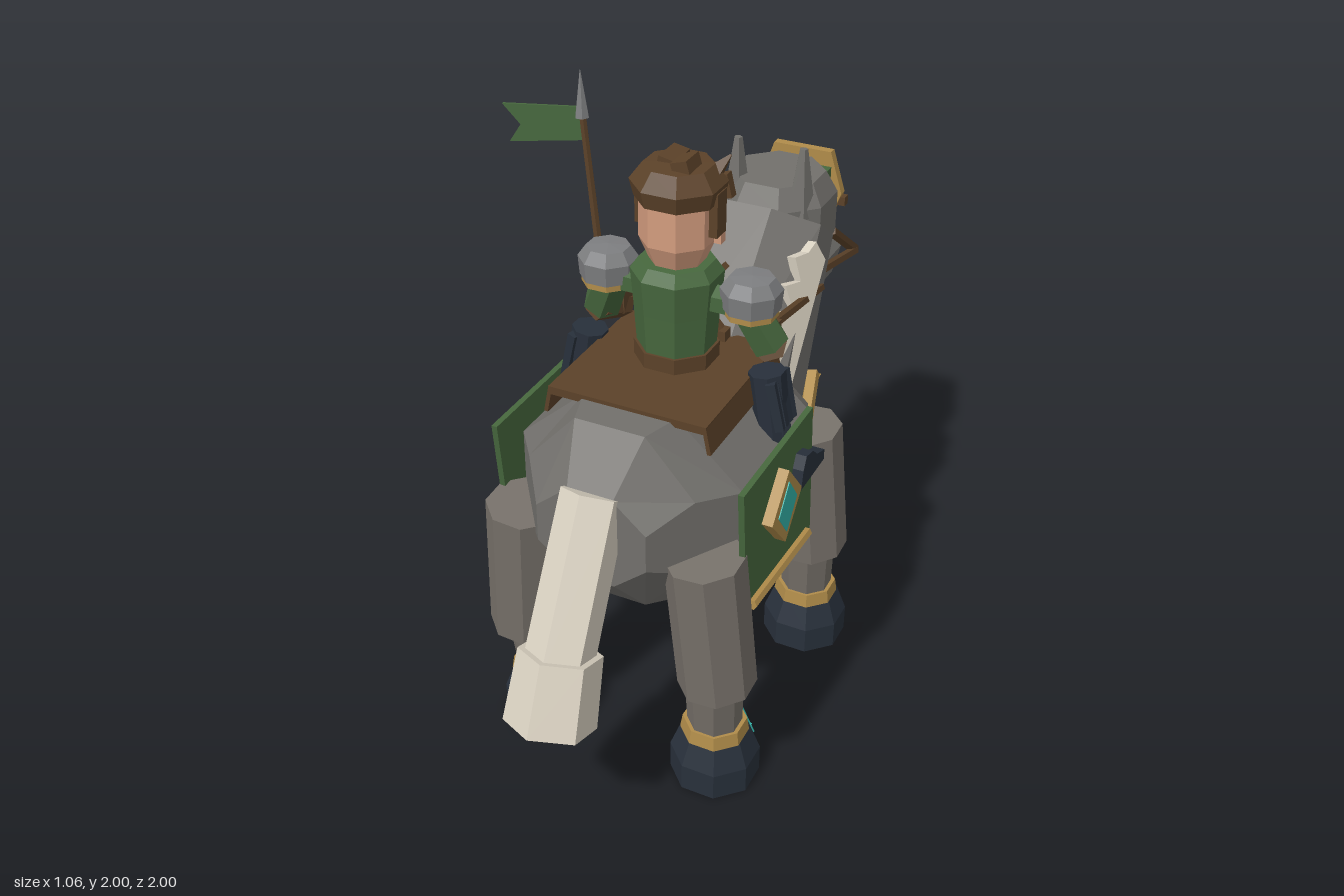
import * as THREE from 'three';

const mat = (name, color) => new THREE.MeshStandardMaterial({ name, color, flatShading: true });
const GREY = mat('horse grey', 0x72706c), LEG = mat('warm leg grey', 0x77716a), STEEL = mat('steel', 0x7d7e80),
  CREAM = mat('cream hair', 0xdad2c2), GOLD = mat('gold', 0xb08c4a), GREEN = mat('green cloth', 0x47683e),
  BROWN = mat('brown leather', 0x5c4229), SLATE = mat('dark slate', 0x28303b), TEAL = mat('teal', 0x33b3a9),
  SKIN = mat('skin', 0xd39c7e);
const V = (x, y, z) => new THREE.Vector3(x, y, z);

export function createModel() {
  const root = new THREE.Group();
  root.name = 'mountedRider';
  const m = new THREE.Group();
  m.name = 'horseAndRider';
  m.position.x = 0.095;
  root.add(m);

  const add = (name, geo, material, x = 0, y = 0, z = 0, parent = m) => {
    const o = new THREE.Mesh(geo, material);
    o.name = name;
    o.position.set(x, y, z);
    parent.add(o);
    return o;
  };
  const box = (name, w, h, d, material, x, y, z) => add(name, new THREE.BoxGeometry(w, h, d), material, x, y, z);
  // prism with n sides running from point a to point b
  const rod = (name, a, b, ra, rb, n, material, turn = Math.PI / n) => {
    const g = new THREE.CylinderGeometry(rb, ra, a.distanceTo(b), n).rotateY(turn);
    const o = add(name, g, material);
    o.position.copy(a).lerp(b, 0.5);
    o.quaternion.setFromUnitVectors(V(0, 1, 0), b.clone().sub(a).normalize());
    return o;
  };
  // faceted solid of revolution from [radius, y] pairs
  const turned = (name, pts, n, material, x, y, z) =>
    add(name, new THREE.LatheGeometry(pts.map(p => new THREE.Vector2(...p)), n).rotateY(Math.PI / n), material, x, y, z);
  // flat plate drawn in xy and extruded about z = 0
  const plate = (pts, t) => new THREE.ExtrudeGeometry(new THREE.Shape(pts.map(p => new THREE.Vector2(...p))),
    { depth: t, bevelEnabled: false }).translate(0, 0, -t / 2);
  const diamond = (w, h, t) => plate([[0, -h], [w, 0], [0, h], [-w, 0]], t);

  // barrel: octagonal sections [z, half width, bottom, top] from rump to chest
  const sections = [[0.62, 0.17, 0.79, 1.08], [0.5, 0.26, 0.65, 1.23], [0.38, 0.35, 0.6, 1.23], [-0.1, 0.35, 0.6, 1.23],
    [-0.18, 0.32, 0.61, 1.18], [-0.25, 0.24, 0.7, 1.11]];
  const pos = [], idx = [], N = 8;
  for (const [z, w, lo, hi] of sections) for (let i = 0; i < N; i++) {
    const a = (i + 0.5) / N * Math.PI * 2;
    pos.push(w * Math.cos(a) / 0.924, (lo + hi) / 2 + (hi - lo) / 2 * Math.sin(a) / 0.924, z);
  }
  for (let s = 0; s + 1 < sections.length; s++) for (let i = 0; i < N; i++) {
    const a = s * N + i, b = s * N + (i + 1) % N;
    idx.push(a, a + N, b, b, a + N, b + N);
  }
  const last = (sections.length - 1) * N;
  for (let i = 1; i < N - 1; i++) idx.push(0, i, i + 1, last, last + i + 1, last + i);
  const barrel = new THREE.BufferGeometry();
  barrel.setAttribute('position', new THREE.Float32BufferAttribute(pos, 3));
  barrel.setIndex(idx);
  barrel.computeVertexNormals();
  add('horseBody', barrel, GREY);

  // neck: deep at the base, broad at the top
  const neck = new THREE.Group();
  neck.name = 'neckGroup';
  neck.position.set(0, 1.185, -0.345);
  neck.rotation.x = -0.63;
  m.add(neck);
  const neckGeo = new THREE.CylinderGeometry(0.19, 0.305, 0.6, 8).rotateY(Math.PI / 8);
  const np = neckGeo.attributes.position;
  for (let i = 0; i < np.count; i++) np.setX(i, np.getX(i) * (np.getY(i) > 0 ? 1.28 : 0.92));
  neckGeo.computeVertexNormals();
  add('neck', neckGeo, GREY, 0, 0, 0, neck);

  // toothed mane hanging down each side of the neck
  for (const s of [1, -1]) {
    const side = new THREE.Group();
    side.name = 'maneSide';
    side.rotation.y = s * 1.13;
    neck.add(side);
    const pts = [[s * 0.06, -0.25], [s * 0.06, 0.2], [s * 0.0, 0.24]];
    for (let i = 0; i < 5; i++) pts.push([-s * 0.02, 0.2 - i * 0.09], [-s * (0.07 + i * 0.008), 0.17 - i * 0.09]);
    add('mane', plate(pts, 0.035), CREAM, 0, 0, 0.245, side);
  }

  // head, muzzle and ears
  turned('head', [[0, 0], [0.14, 0], [0.19, 0.1], [0.19, 0.24], [0.15, 0.31], [0, 0.31]], 8, GREY, 0, 1.22, -0.665);
  rod('noseBridge', V(0, 1.4, -0.68), V(0, 1.13, -0.84), 0.155, 0.125, 8, GREY);
  turned('muzzle', [[0, 0], [0.125, 0], [0.15, 0.1], [0.12, 0.14], [0, 0.14]], 8, GREY, 0, 1.08, -0.86);
  for (const s of [1, -1]) rod('ear', V(s * 0.11, 1.43, -0.58), V(s * 0.11, 1.65, -0.585), 0.05, 0.014, 5, GREY);

  // forehead guard
  box('foreheadPad', 0.21, 0.17, 0.035, GREEN, 0, 1.395, -0.845);
  add('foreheadGuard', plate([[-0.09, -0.14], [0.09, -0.14], [0.145, 0], [0.1, 0.14], [-0.1, 0.14], [-0.145, 0]], 0.03),
    GOLD, 0, 1.39, -0.88);
  add('foreheadGem', diamond(0.07, 0.115, 0.008), TEAL, 0, 1.39, -0.893);
  for (const s of [1, -1]) box('guardStud', 0.03, 0.03, 0.03, BROWN, s * 0.14, 1.36, -0.89);

  // tail
  rod('tailUpper', V(0, 1.07, 0.59), V(0, 0.62, 0.83), 0.095, 0.1, 6, CREAM, 0);
  rod('tailTuft', V(0, 0.67, 0.805), V(0, 0.465, 0.88), 0.12, 0.133, 6, CREAM, 0);

  // chest collar with gem
  const half = [[0.05, 0.65], [0.15, 0.69], [0.2, 0.8], [0.27, 0.97], [0.21, 0.97], [0.12, 0.84], [0.05, 0.81]];
  add('chestCollar', plate([...half, ...half.map(([x, y]) => [-x, y]).reverse()], 0.025), GOLD, 0, 0, -0.415);
  add('collarGem', plate([[0, 0.73], [0.05, 0.8], [-0.05, 0.8]], 0.008), TEAL, 0, 0, -0.426);

  for (const s of [1, -1]) {
    // horse legs, hooves and hoof runes
    for (const z of [0.4, -0.345]) {
      rod('upperLeg', V(s * 0.32, 0.41, z + 0.055), V(s * 0.287, 0.88, z + 0.09), 0.118, 0.118, 8, LEG);
      rod('lowerLeg', V(s * 0.297, 0.17, z + 0.01), V(s * 0.305, 0.44, z + 0.045), 0.082, 0.09, 8, LEG);
      turned('fetlockBand', [[0, 0], [0.105, 0], [0.098, 0.045], [0, 0.045]], 8, GOLD, s * 0.297, 0.175, z + 0.012);
      turned('hoof', [[0, 0], [0.138, 0], [0.138, 0.09], [0.1, 0.19], [0, 0.19]], 8, SLATE, s * 0.295, 0, z);
      const r = (x1, y1, x2, y2) => rod('hoofRune', V(s * 0.3 + x1, y1, z - 0.15), V(s * 0.3 + x2, y2, z - 0.15), 0.01, 0.01, 4, TEAL);
      r(-0.055, 0.035, -0.01, 0.125);
      r(0.055, 0.035, 0.01, 0.125);
      r(-0.05, 0.09, 0.05, 0.06);
    }

    // side cloth with trim and diamond crest, drawn with x as -z
    const cloth = new THREE.Group();
    cloth.name = 'sideCloth';
    cloth.position.x = s * 0.385;
    cloth.rotation.y = Math.PI / 2;
    m.add(cloth);
    add('clothPanel', plate([[-0.48, 1.11], [-0.435, 0.7], [0.06, 0.645], [0.02, 1.11]], 0.018), GREEN, 0, 0, 0, cloth);
    add('crestFrame', diamond(0.11, 0.125, 0.034), GOLD, -0.235, 0.93, s * 0.025, cloth);
    add('crestGem', diamond(0.067, 0.087, 0.008), TEAL, -0.235, 0.93, s * 0.041, cloth);
    rod('clothTrim', V(s * 0.4, 0.69, 0.41), V(s * 0.4, 0.66, -0.02), 0.017, 0.017, 6, GOLD);

    // collar strap and reins
    rod('collarStrap', V(s * 0.335, 0.82, -0.09), V(s * 0.26, 1, -0.38), 0.022, 0.022, 4, GOLD);
    rod('rearRein', V(s * 0.25, 1.34, -0.05), V(s * 0.235, 1.255, -0.47), 0.016, 0.014, 5, BROWN);
    rod('middleRein', V(s * 0.2, 1.27, -0.53), V(s * 0.18, 1.16, -0.94), 0.016, 0.016, 5, BROWN);
    rod('bridle', V(s * 0.165, 1.32, -0.73), V(s * 0.175, 1.16, -0.95), 0.018, 0.018, 5, BROWN);

    // rider's arm and shoulder guard
    turned('shoulderGuard', [[0, 0], [0.085, 0], [0.09, 0.06], [0.065, 0.095], [0, 0.1]], 8, STEEL, s * 0.225, 1.445, 0.07);
    turned('shoulderBand', [[0, 0], [0.08, 0], [0.08, 0.022], [0, 0.022]], 8, GOLD, s * 0.225, 1.425, 0.07);
    rod('sleeve', V(s * 0.21, 1.45, 0.07), V(s * 0.27, 1.32, 0.03), 0.055, 0.06, 6, GREEN);
    rod('forearm', V(s * 0.275, 1.33, 0.05), V(s * 0.24, 1.29, -0.05), 0.055, 0.045, 6, BROWN);
    box('hand', 0.06, 0.07, 0.06, BROWN, s * 0.24, 1.32, -0.025);

    // rider's armoured leg tucked behind the cloth, and the boot outside it
    rod('riderLeg', V(s * 0.285, 1.26, 0.08), V(s * 0.315, 1.04, 0.08), 0.055, 0.05, 8, SLATE);
    for (let i = 0; i < 4; i++)
      rod('legRib', V(s * 0.315, 1.25, 0.035 + i * 0.03), V(s * 0.35, 1.1, 0.04 + i * 0.027), 0.02, 0.018, 4, SLATE);
    const boot = plate([[-0.13, 0.92], [0.05, 0.92], [0.05, 0.955], [-0.01, 0.975], [-0.05, 1.01], [-0.1, 1.02], [-0.12, 0.98]], 0.075);
    add('boot', boot, SLATE, s * 0.39, 0, 0).rotation.y = Math.PI / 2;
    rod('bootShaft', V(s * 0.36, 0.97, 0.08), V(s * 0.335, 1.1, 0.08), 0.03, 0.03, 6, SLATE);

    // saddle side flap
    box('saddleFlap', 0.012, 0.085, 0.5, BROWN, s * 0.247, 1.198, 0.155).rotation.z = s * 0.2;
  }
  box('saddle', 0.49, 0.025, 0.5, BROWN, 0, 1.23, 0.155);
  box('saddleHorn', 0.2, 0.05, 0.04, BROWN, 0, 1.25, -0.06);

  // rider's torso
  turned('belt', [[0, 0], [0.125, 0], [0.125, 0.05], [0, 0.05]], 8, BROWN, 0, 1.24, 0.08);
  turned('tunic', [[0, 0], [0.115, 0], [0.125, 0.14], [0.135, 0.25], [0.11, 0.285], [0, 0.285]], 8, GREEN, 0, 1.27, 0.08);
  rod('shoulders', V(-0.2, 1.45, 0.075), V(0.2, 1.45, 0.075), 0.045, 0.045, 6, GREEN);
  for (const s of [1, -1]) rod('chestStrap', V(s * 0.1, 1.5, -0.035), V(-s * 0.09, 1.29, -0.035), 0.013, 0.013, 4, BROWN);

  // rider's head and face
  turned('riderHead', [[0, 0], [0.075, 0], [0.11, 0.08], [0.11, 0.24], [0, 0.24]], 8, SKIN, 0, 1.54, 0.08);
  for (const s of [1, -1]) {
    box('eye', 0.03, 0.024, 0.008, SLATE, s * 0.04, 1.675, -0.024);
    box('eyebrow', 0.045, 0.012, 0.012, BROWN, s * 0.042, 1.71, -0.025).rotation.z = s * 0.25;
    box('sidelock', 0.028, 0.13, 0.06, BROWN, s * 0.113, 1.71, 0.065);
    box('riderEar', 0.022, 0.05, 0.03, SKIN, s * 0.115, 1.64, 0.05);
  }
  box('nose', 0.022, 0.035, 0.02, SKIN, 0, 1.645, -0.027);
  box('mouth', 0.04, 0.008, 0.008, BROWN, 0, 1.605, -0.019);

  // hair
  turned('hairCap', [[0, 0], [0.125, 0], [0.138, 0.05], [0.1, 0.1], [0, 0.105]], 8, BROWN, 0, 1.74, 0.075);
  for (let i = 0; i < 5; i++) {
    const lock = box('fringe', 0.05, 0.07, 0.03, BROWN, (i - 2) * 0.047, 1.755 + (i % 2) * 0.015, -0.04 + Math.abs(i - 2) * 0.012);
    lock.rotation.z = (i - 2) * 0.12;
  }
  box('hairTuft', 0.05, 0.05, 0.08, BROWN, 0.035, 1.845, 0.1).rotation.z = 0.3;
  box('hairTuft', 0.05, 0.04, 0.1, BROWN, -0.03, 1.835, 0.05).rotation.z = -0.2;
  rod('hairSpike', V(0.08, 1.8, 0.04), V(0.125, 1.86, 0.01), 0.035, 0.004, 4, BROWN);

  // lance with pennant
  rod('flagPole', V(-0.3, 1.25, -0.05), V(-0.367, 1.88, -0.05), 0.014, 0.011, 6, BROWN);
  rod('lanceTip', V(-0.367, 1.86, -0.05), V(-0.37, 2, -0.05), 0.022, 0.001, 6, STEEL);
  add('pennant', plate([[-0.365, 1.89], [-0.635, 1.855], [-0.575, 1.8], [-0.615, 1.74], [-0.36, 1.79]], 0.008), GREEN, 0, 0, -0.055);
  add('pennantDiamond', diamond(0.025, 0.035, 0.008), CREAM, -0.455, 1.825, -0.058);

  return root;
}
